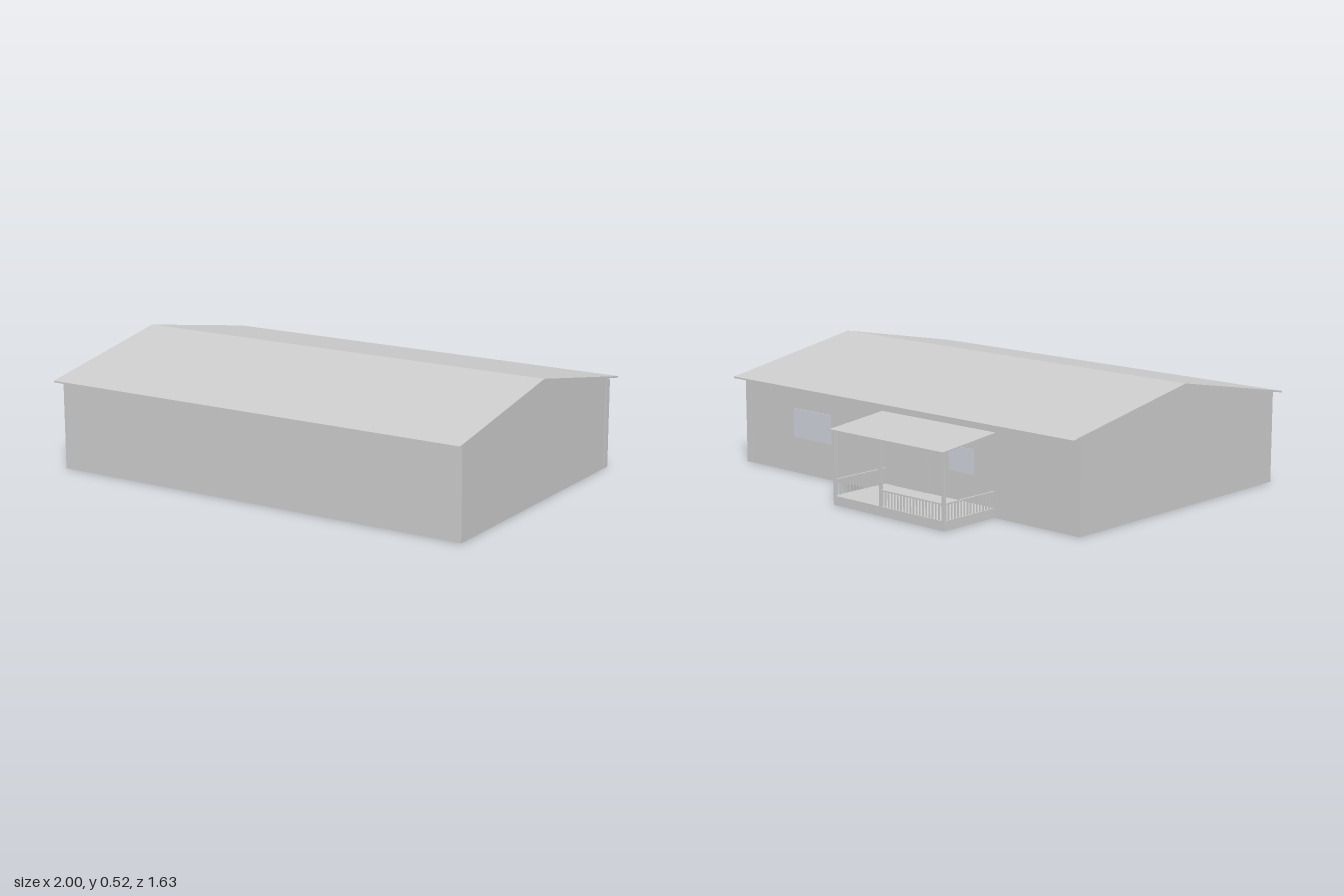
import * as THREE from 'three';

const grey = new THREE.MeshStandardMaterial({ color: 0xcccccc, flatShading: true });
const glass = new THREE.MeshStandardMaterial({ color: 0xd0d3dc, flatShading: true });

export function createModel() {
  const house = new THREE.Group();
  house.name = 'house';

  const add = (parent, name, geometry, material = grey) => {
    const mesh = new THREE.Mesh(geometry, material);
    mesh.name = name;
    parent.add(mesh);
    return mesh;
  };
  // Box given by its minimum and maximum corners
  const box = (parent, name, x0, x1, y0, y1, z0, z1, material) =>
    add(parent, name, new THREE.BoxGeometry(x1 - x0, y1 - y0, z1 - z0)
      .translate((x0 + x1) / 2, (y0 + y1) / 2, (z0 + z1) / 2), material);
  // Profile in (z, y) swept along x
  const sweep = (parent, name, points, x0, x1) => {
    const shape = new THREE.Shape(points.map(([z, y]) => new THREE.Vector2(z, y)));
    const geometry = new THREE.ExtrudeGeometry(shape, { depth: x1 - x0, bevelEnabled: false });
    return add(parent, name, geometry.rotateY(-Math.PI / 2).translate(x1, 0, 0));
  };

  // Gabled body and thin overhanging roof
  sweep(house, 'walls', [[-0.51, 0], [0.77, 0], [0.77, 0.398], [0.13, 0.516], [-0.51, 0.4]], -0.985, 0.985);
  sweep(house, 'roof', [[0.815, 0.391], [0.815, 0.398], [0.13, 0.524], [-0.57, 0.397],
    [-0.57, 0.39], [0.13, 0.517]], -1, 1);
  box(house, 'cornerTrim', 0.955, 0.988, 0, 0.395, -0.513, -0.48);

  // Openings in the back wall
  const backZ = -0.51;
  box(house, 'backWindow', 0.43, 0.67, 0.16, 0.29, backZ - 0.003, backZ + 0.01, glass);
  box(house, 'porchWindow', -0.42, -0.28, 0.16, 0.265, backZ - 0.003, backZ + 0.01, glass);
  box(house, 'door', -0.16, 0.04, 0.04, 0.265, backZ - 0.003, backZ + 0.01);

  // Porch deck, roof and posts
  const porch = new THREE.Group();
  porch.name = 'porch';
  house.add(porch);
  const left = 0.1, right = -0.535, edge = -0.805, gap = -0.175;
  box(porch, 'deck', right, left, 0, 0.04, edge, backZ);
  sweep(porch, 'porchRoof', [[-0.51, 0.346], [-0.51, 0.353], [-0.815, 0.321], [-0.815, 0.314]], -0.54, 0.11);
  for (const x of [left - 0.006, gap, right + 0.006]) {
    box(porch, 'post', x - 0.006, x + 0.006, 0.04, 0.318, edge, edge + 0.012);
  }

  // Railings: top rail with evenly spaced balusters
  const railing = (x0, z0, x1, z1) => {
    const rail = new THREE.Group();
    rail.name = 'railing';
    porch.add(rail);
    const t = 0.004;
    box(rail, 'topRail', Math.min(x0, x1) - t, Math.max(x0, x1) + t, 0.104, 0.11,
      Math.min(z0, z1) - t, Math.max(z0, z1) + t);
    const count = Math.round(Math.hypot(x1 - x0, z1 - z0) / 0.018);
    for (let i = 0; i < count; i++) {
      const f = (i + 0.5) / count;
      const x = x0 + (x1 - x0) * f, z = z0 + (z1 - z0) * f;
      box(rail, 'baluster', x - 0.0025, x + 0.0025, 0.04, 0.105, z - 0.0025, z + 0.0025);
    }
  };
  railing(left - 0.006, backZ, left - 0.006, edge + 0.006);
  railing(right + 0.006, backZ, right + 0.006, edge + 0.006);
  railing(gap, edge + 0.006, right + 0.006, edge + 0.006);

  return house;
}
